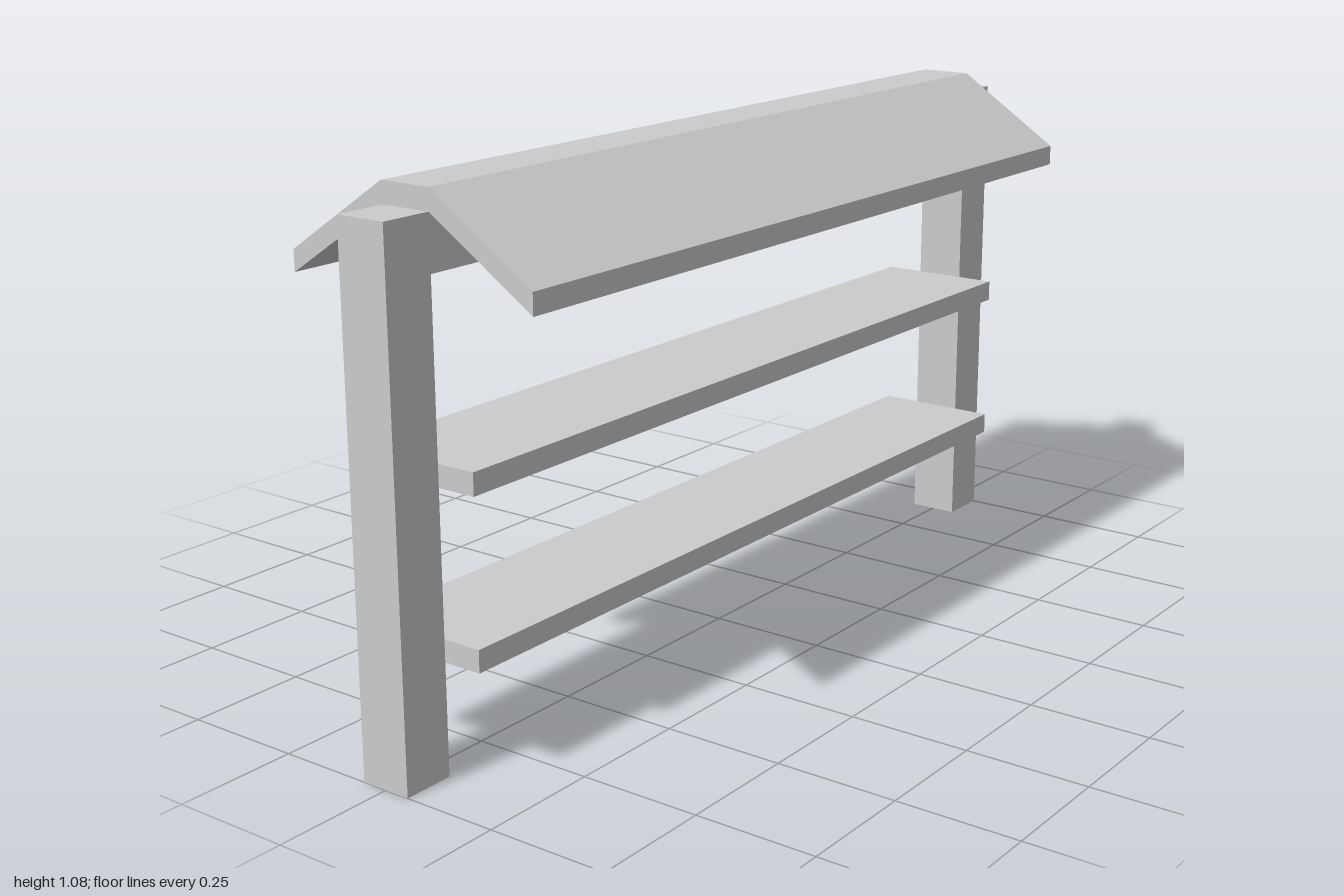
import * as THREE from 'three';

export function createModel() {
  const group = new THREE.Group();
  const material = new THREE.MeshStandardMaterial({ color: 0xcccccc, flatShading: true });

  const POST = 0.107;           // square post section
  const TOP = 1.033;            // post height
  const SPAN = 2 - 2 * POST;    // clear width between the posts

  function add(name, geometry, x = 0, y = 0, z = 0) {
    const mesh = new THREE.Mesh(geometry, material);
    mesh.name = name;
    mesh.position.set(x, y, z);
    group.add(mesh);
  }

  // Posts
  for (const [name, side] of [['leftPost', 1], ['rightPost', -1]]) {
    add(name, new THREE.BoxGeometry(POST, TOP, POST), side * (1 - POST / 2), TOP / 2);
  }

  // Beam joining the post tops, under the roof
  add('topBeam', new THREE.BoxGeometry(SPAN, POST, POST), 0, TOP - POST / 2);

  // Shelf boards
  for (const [name, y] of [['lowerShelf', 0.243], ['upperShelf', 0.569]]) {
    add(name, new THREE.BoxGeometry(SPAN, 0.044, 0.27), 0, y);
  }

  // Roof: one bent board with a flat ridge, extruded along x
  const half = [[0.28, 0.885], [0.28, 0.927], [0.056, 1.075]];
  const profile = [
    ...half,
    ...half.map(([z, y]) => [-z, y]).reverse(),
    [-POST / 2, TOP],
    [POST / 2, TOP],
  ];
  const shape = new THREE.Shape(profile.map(([z, y]) => new THREE.Vector2(z, y)));
  const roof = new THREE.ExtrudeGeometry(shape, { depth: SPAN, bevelEnabled: false });
  roof.translate(0, 0, -SPAN / 2).rotateY(Math.PI / 2);
  add('roof', roof);

  return group;
}
